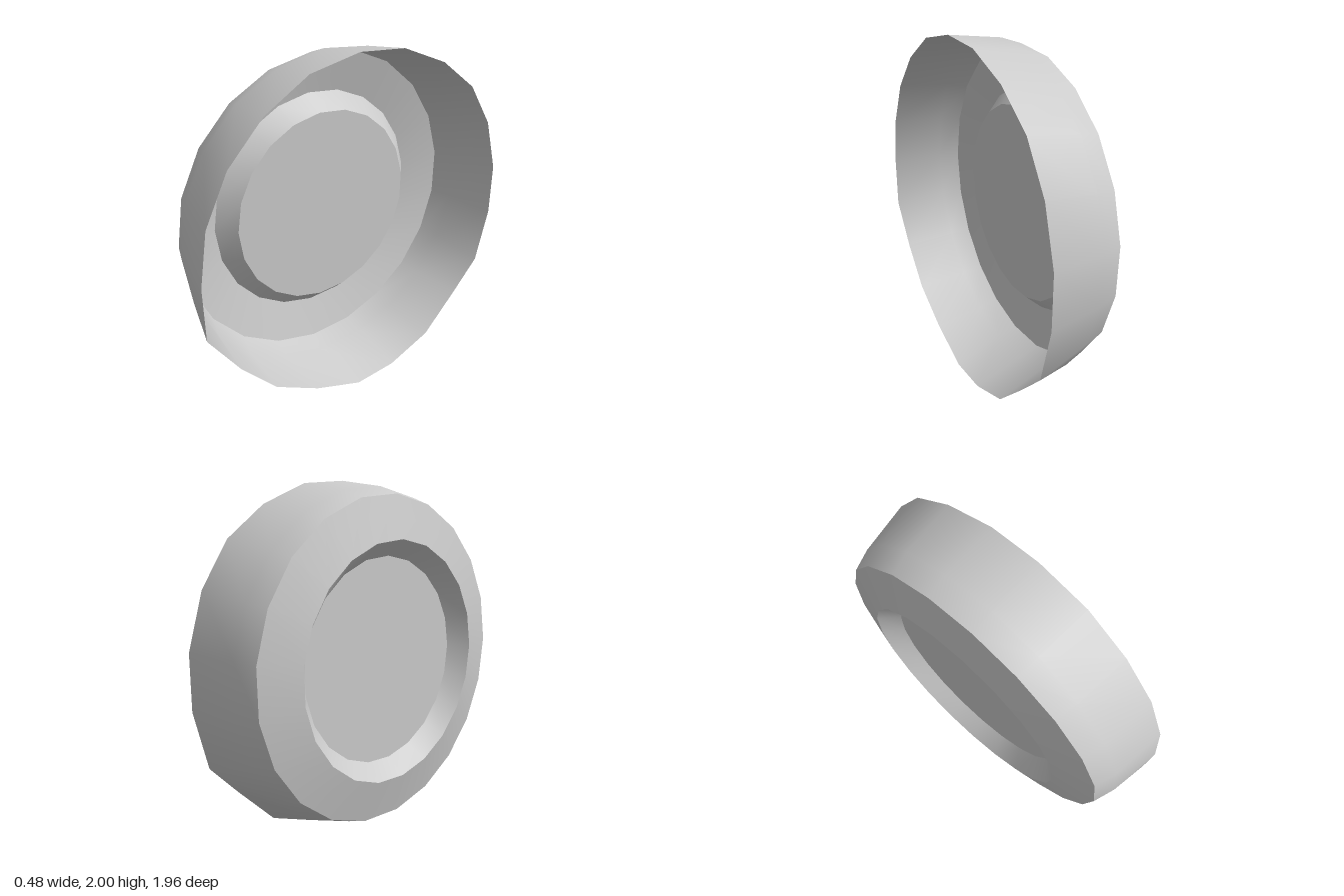
import * as THREE from 'three';

const SIDES = 21;
const CENTRE_Y = 1.025;
const START = 0.06; // angle of the first corner from the top, towards +z

// Slightly uneven open rim: [z, y] for each corner, from the top towards +z
const RIM = [
  [0.06, 2], [0.35, 1.94], [0.6, 1.79], [0.8, 1.58], [0.93, 1.32], [0.98, 1.03], [0.98, 0.73],
  [0.81, 0.48], [0.61, 0.26], [0.34, 0.11], [0.04, 0], [-0.22, 0.02], [-0.5, 0.13], [-0.73, 0.36],
  [-0.9, 0.54], [-0.98, 0.86], [-0.98, 1.16], [-0.89, 1.46], [-0.73, 1.7], [-0.5, 1.87], [-0.22, 1.98],
];

// Regular ring of points around the x axis
function ring(x, radius) {
  return Array.from({ length: SIDES }, (_, i) => {
    const a = START + (i / SIDES) * Math.PI * 2;
    return [x, CENTRE_Y + radius * Math.cos(a), radius * Math.sin(a)];
  });
}

// Closed band joining successive rings, smooth within the band
function band(name, rings, material) {
  const index = [];
  for (let j = 0; j < rings.length - 1; j++) {
    for (let i = 0; i < SIDES; i++) {
      const n = (i + 1) % SIDES;
      const a = j * SIDES + i, b = j * SIDES + n;
      const c = a + SIDES, d = b + SIDES;
      index.push(a, c, b, b, c, d);
    }
  }
  const geometry = new THREE.BufferGeometry();
  geometry.setAttribute('position', new THREE.Float32BufferAttribute(rings.flat(2), 3));
  geometry.setIndex(index);
  geometry.computeVertexNormals();
  const mesh = new THREE.Mesh(geometry, material);
  mesh.name = name;
  return mesh;
}

export function createModel() {
  const group = new THREE.Group();
  group.name = 'shallowDish';
  const material = new THREE.MeshStandardMaterial({ color: 0xcccccc, side: THREE.DoubleSide });

  const rim = RIM.map(([z, y]) => [0.24, y, z]);
  const belt = ring(-0.06, 0.94);
  const shoulder = ring(-0.18, 0.9);
  const lip = ring(-0.24, 0.665);
  const floor = ring(-0.14, 0.575);
  const middle = ring(-0.14, 0);

  // Flared wall, open towards +x
  group.add(band('outerWall', [rim, belt, shoulder], material));
  // Sloping face around the recess
  group.add(band('face', [shoulder, lip], material));
  // Bevelled step down into the recess
  group.add(band('recessWall', [lip, floor], material));
  // Flat centre disc
  group.add(band('centreDisc', [floor, middle], material));
  return group;
}
